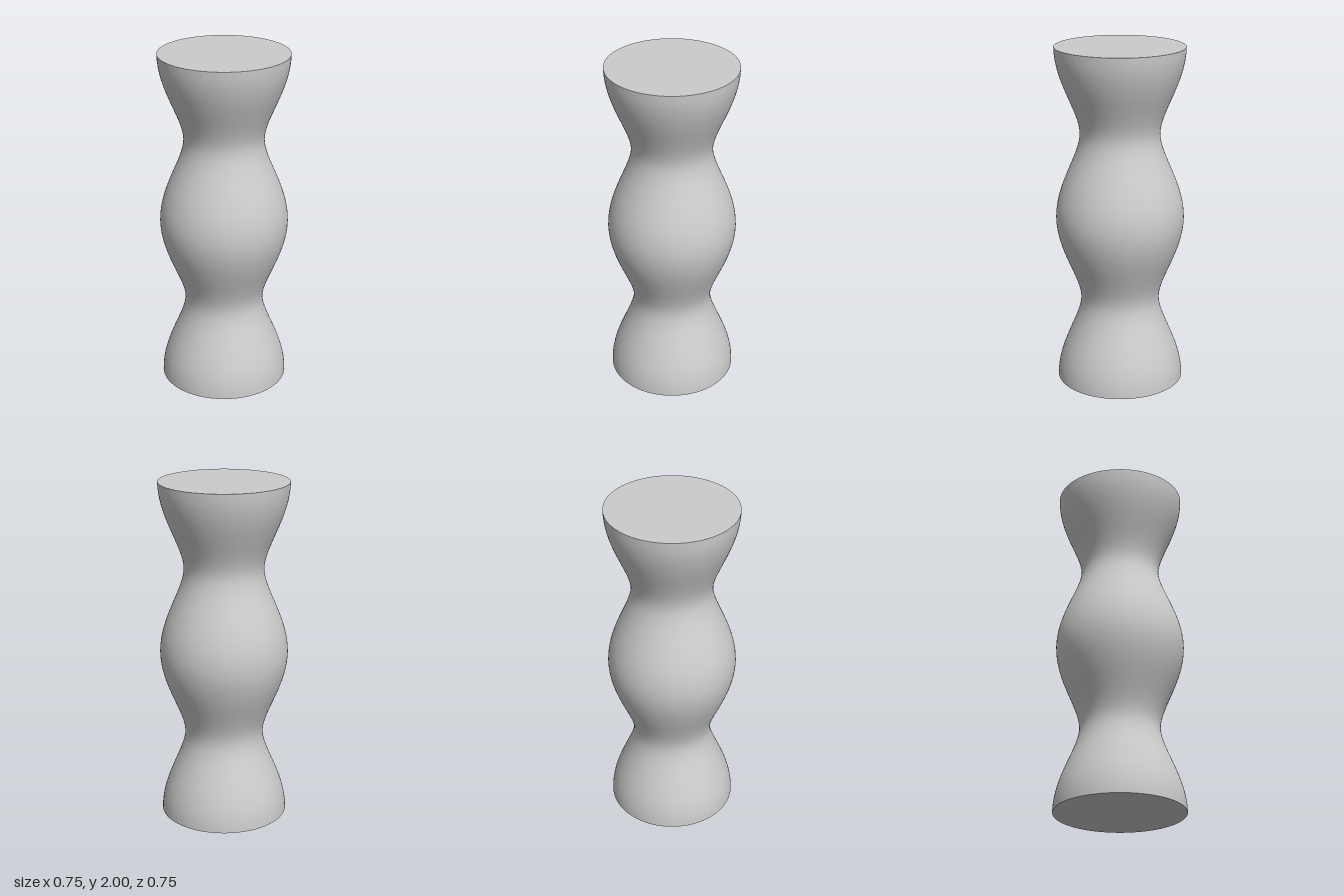
import * as THREE from 'three';

const R_MAX = 0.373, R_MIN = 0.231, HALF_WAVE = 0.5, SEGMENTS = 96;

export function createModel() {
  const group = new THREE.Group();
  group.name = 'wavyColumn';
  const material = new THREE.MeshStandardMaterial({ color: 0xcccccc });

  // Profile: broad bulges at y = 0, 1, 2 and tighter necks at y = 0.5, 1.5
  const handle = (r) => (r === R_MAX ? 0.2 : 0.13);
  const profile = new THREE.Path();
  profile.moveTo(R_MAX, 0);
  for (let i = 0; i < 4; i++) {
    const [r0, r1] = i % 2 ? [R_MIN, R_MAX] : [R_MAX, R_MIN];
    const y0 = i * HALF_WAVE, y1 = y0 + HALF_WAVE;
    profile.bezierCurveTo(r0, y0 + handle(r0), r1, y1 - handle(r1), r1, y1);
  }
  const body = new THREE.Mesh(new THREE.LatheGeometry(profile.getPoints(16), SEGMENTS), material);
  body.name = 'body';
  group.add(body);

  // Flat end caps with crisp rims
  for (const [name, y, turn] of [['topCap', 2, -1], ['bottomCap', 0, 1]]) {
    const cap = new THREE.Mesh(new THREE.CircleGeometry(R_MAX, SEGMENTS), material);
    cap.name = name;
    cap.rotation.x = turn * Math.PI / 2;
    cap.position.y = y;
    group.add(cap);
  }
  return group;
}
